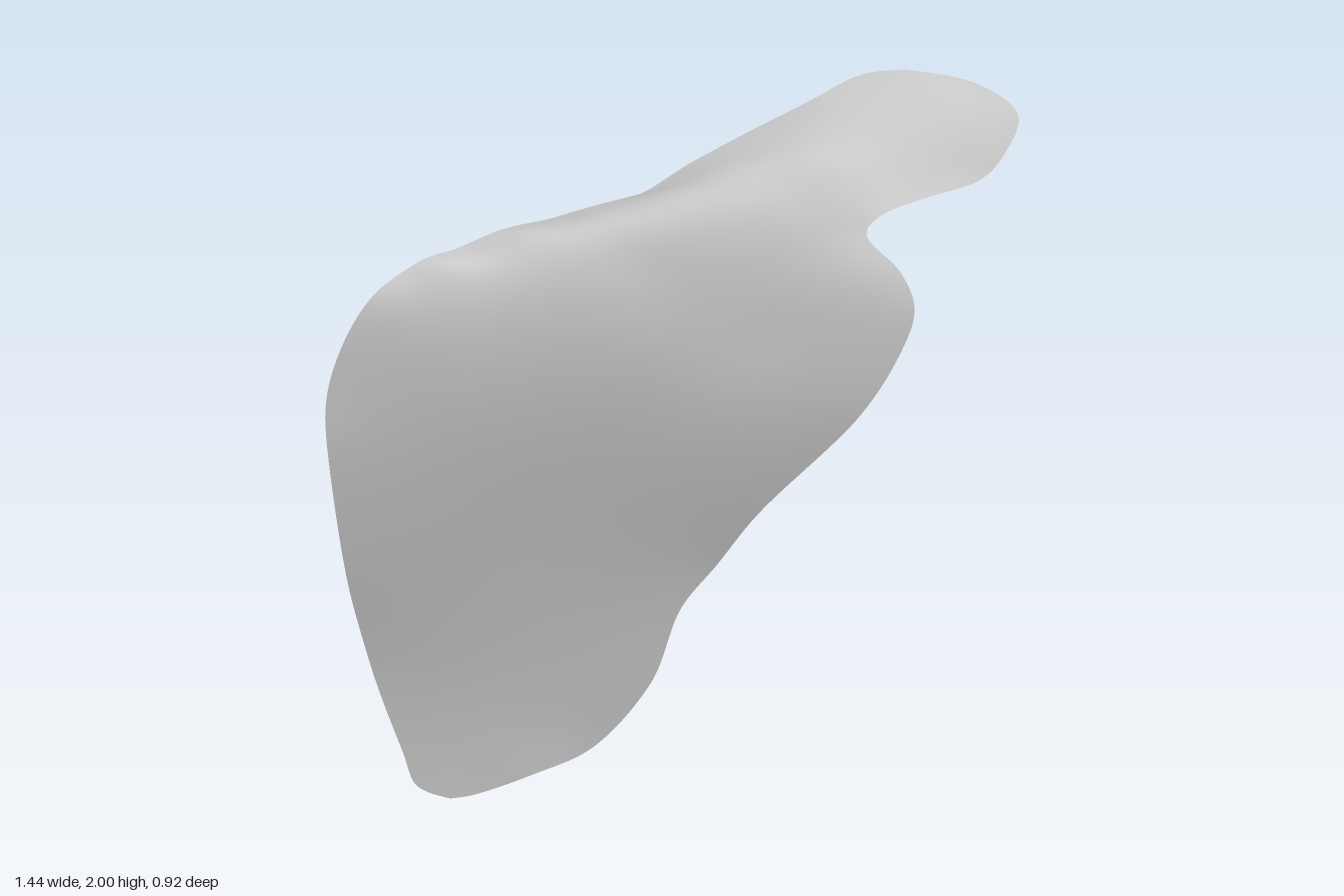
import * as THREE from 'three';

// Edge points as x, y, z, from the lowest point up to the highest.
const LEFT_EDGE = [
  [-0.41, 0, -0.41], [-0.46, 0.018, -0.44], [-0.49, 0.045, -0.455], [-0.52, 0.16, -0.455], [-0.6, 0.46, -0.43],
  [-0.675, 0.8, -0.35], [-0.72, 1.18, -0.275], [-0.715, 1.3, -0.26], [-0.68, 1.43, -0.225],
  [-0.62, 1.54, -0.19], [-0.54, 1.595, -0.178], [-0.42, 1.625, -0.175], [-0.2, 1.672, -0.14], [0, 1.718, -0.077],
  [0.1, 1.783, -0.04], [0.2, 1.845, 0.01], [0.34, 1.932, 0.09], [0.45, 1.987, 0.13], [0.53, 2, 0.18],
];
const RIGHT_EDGE = [
  [-0.41, 0, -0.41], [-0.36, 0.012, -0.38], [-0.22, 0.095, -0.28], [-0.09, 0.19, -0.19], [0.02, 0.42, -0.07],
  [0.065, 0.67, 0.01], [0.12, 0.81, 0.085], [0.17, 0.98, 0.187], [0.31, 1.28, 0.385], [0.375, 1.46, 0.45],
  [0.393, 1.55, 0.46], [0.375, 1.63, 0.42], [0.335, 1.695, 0.345], [0.36, 1.727, 0.343], [0.48, 1.757, 0.35],
  [0.61, 1.787, 0.375], [0.67, 1.84, 0.378], [0.717, 1.92, 0.35], [0.66, 1.972, 0.265], [0.53, 2, 0.18],
];
// Inner points as x, y and offset from the slanted base plane: the blade, its shoulder and the folded top.
const INNER = [
  [-0.25, 0.85, -0.16], [-0.3, 1.15, -0.06], [0, 1.12, -0.063],
  [-0.4, 1.42, -0.002], [-0.1, 1.42, -0.002], [0.15, 1.45, 0.004],
  [-0.4, 1.56, -0.008], [-0.1, 1.62, -0.011], [0.18, 1.63, 0],
  [-0.48, 1.618, -0.036], [-0.08, 1.706, -0.038], [-0.3, 1.671, -0.08], [-0.15, 1.709, -0.105],
  [0, 1.759, -0.135], [0.1, 1.8, -0.16], [0.2, 1.79, -0.065], [0.28, 1.84, -0.1], [0.45, 1.895, -0.175],
];
const plane = (x) => 0.17 + 0.56 * x;

// Diagonal coordinates (x, v, q): upright blade and level fold are both height fields q over x and v.
const toDiagonal = ([x, y, w]) => [x, y - w, y + w];
const edgeToDiagonal = ([x, y, z]) => toDiagonal([x, y, z - plane(x)]);

// Smooth thin-plate fit through all the points.
function fitSurface(points) {
  const n = points.length, m = n + 3;
  const phi = (dx, dy) => {
    const r2 = dx * dx + dy * dy;
    return r2 < 1e-12 ? 0 : r2 * Math.log(r2);
  };
  const a = Array.from({ length: m }, () => new Array(m + 1).fill(0));
  points.forEach(([x, v, q], i) => {
    points.forEach((p, j) => { a[i][j] = phi(x - p[0], v - p[1]); });
    a[i][i] += 0.003;
    [1, x, v].forEach((t, k) => { a[i][n + k] = t; a[n + k][i] = t; });
    a[i][m] = q;
  });
  for (let c = 0; c < m; c++) {
    let p = c;
    for (let r = c + 1; r < m; r++) if (Math.abs(a[r][c]) > Math.abs(a[p][c])) p = r;
    [a[c], a[p]] = [a[p], a[c]];
    for (let r = 0; r < m; r++) {
      if (r === c) continue;
      const f = a[r][c] / a[c][c];
      for (let k = c; k <= m; k++) a[r][k] -= f * a[c][k];
    }
  }
  const s = a.map((row, i) => row[m] / row[i]);
  return (x, v) => points.reduce((sum, p, i) => sum + s[i] * phi(x - p[0], v - p[1]),
    s[n] + s[n + 1] * x + s[n + 2] * v);
}

// Returns the x of an edge at a given v.
function edgeAt(edge) {
  const pts = new THREE.CatmullRomCurve3(edge.map(([x, v]) => new THREE.Vector3(x, v, 0))).getPoints(500);
  return (v) => {
    let i = 1;
    while (i < pts.length - 1 && pts[i].y < v) i++;
    const p = pts[i - 1], q = pts[i];
    const t = THREE.MathUtils.clamp((v - p.y) / Math.max(q.y - p.y, 1e-6), 0, 1);
    return p.x + (q.x - p.x) * t;
  };
}

export function createModel() {
  const group = new THREE.Group();
  group.name = 'curvedBlade';
  const grey = new THREE.MeshStandardMaterial({ color: 0xc8c8c8, side: THREE.DoubleSide });
  grey.name = 'light grey';

  const leftPoints = LEFT_EDGE.map(edgeToDiagonal), rightPoints = RIGHT_EDGE.map(edgeToDiagonal);
  const surface = fitSurface([...leftPoints, ...rightPoints.slice(1, -1), ...INNER.map(toDiagonal)]);
  const left = edgeAt(leftPoints), right = edgeAt(rightPoints);
  const vMin = leftPoints[0][1], vMax = leftPoints[leftPoints.length - 1][1];

  // Rows from edge to edge, closer together at the rounded ends.
  const rows = 220, cols = 40, positions = [], index = [];
  for (let r = 0; r <= rows; r++) {
    const v = vMin + (vMax - vMin) * (0.5 - 0.5 * Math.cos(Math.PI * r / rows));
    const x0 = left(v), x1 = right(v);
    for (let c = 0; c <= cols; c++) {
      const x = x0 + (x1 - x0) * c / cols, q = surface(x, v);
      positions.push(x, (q + v) / 2, plane(x) + (q - v) / 2);
      if (r < rows && c < cols) {
        const i = r * (cols + 1) + c, j = i + cols + 1;
        index.push(i, i + 1, j, i + 1, j + 1, j);
      }
    }
  }
  const geometry = new THREE.BufferGeometry();
  geometry.setAttribute('position', new THREE.Float32BufferAttribute(positions, 3));
  geometry.setIndex(index);
  geometry.computeVertexNormals();

  const blade = new THREE.Mesh(geometry, grey);
  blade.name = 'blade';
  group.add(blade);
  return group;
}
